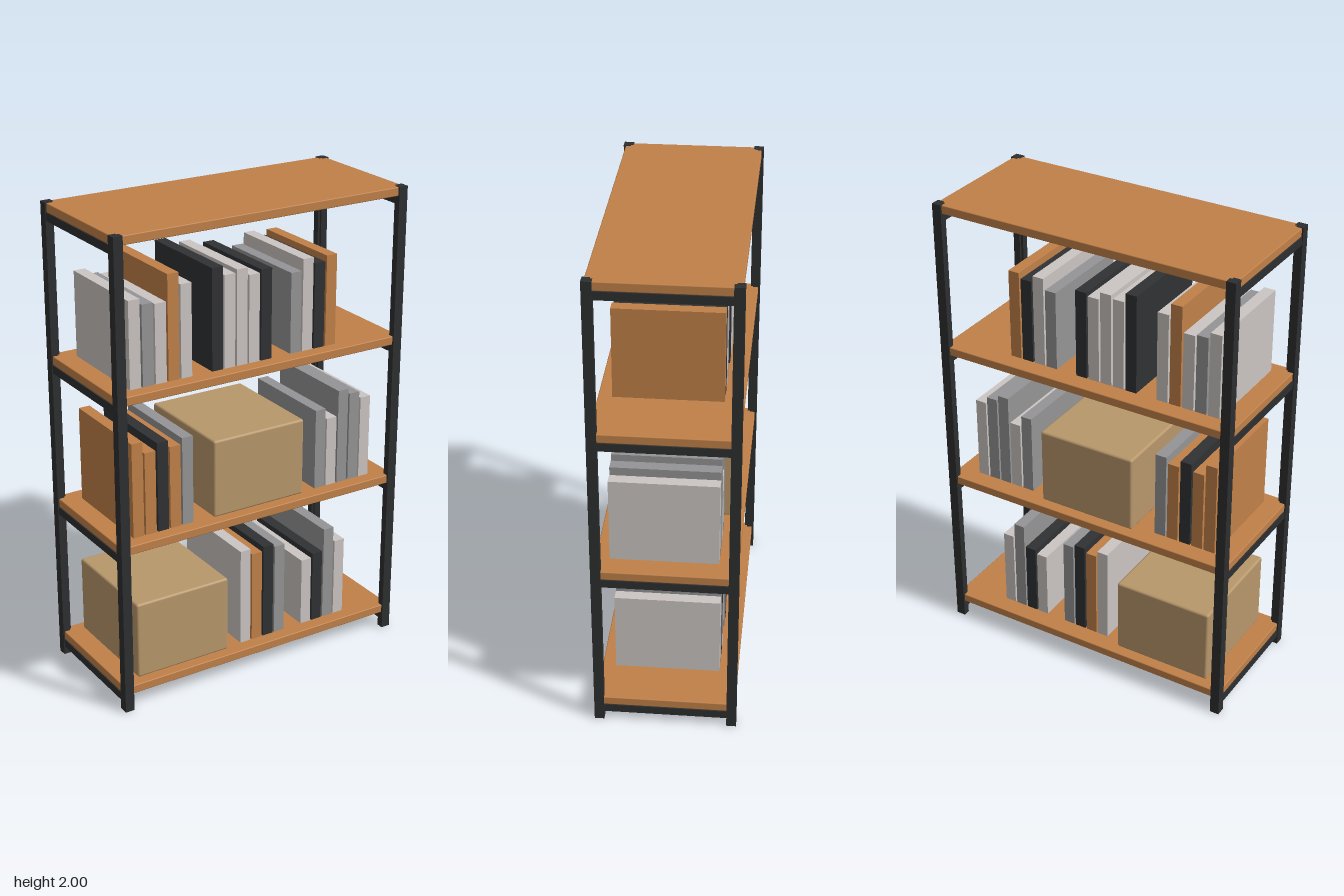
import * as THREE from 'three';
import { RoundedBoxGeometry } from 'three/addons/geometries/RoundedBoxGeometry.js';

const mat = (name, color) => {
  const m = new THREE.MeshStandardMaterial({ color });
  m.name = name;
  return m;
};

export function createModel() {
  const wood = mat('wood', 0xc08048);
  const metal = mat('dark metal', 0x2d2e2f);
  const card = mat('cardboard', 0xb8976b);
  const covers = {
    L: mat('light grey cover', 0xcbc5c2),
    G: mat('grey cover', 0x949496),
    K: mat('black cover', 0x303133),
    O: wood,
  };

  const model = new THREE.Group();
  model.name = 'bookshelf';
  const add = (name, geometry, material, x, y, z) => {
    const mesh = new THREE.Mesh(geometry, material);
    mesh.name = name;
    mesh.position.set(x, y, z);
    model.add(mesh);
    return mesh;
  };

  const X = 0.667, Z = 0.292, W = 0.04, T = 0.03; // frame half sizes, post width and wall

  // corner posts: thick angle profile, open toward the middle of the shelf
  for (const sx of [-1, 1]) for (const sz of [-1, 1]) {
    const corner = [[0, 0], [W, 0], [W, T], [T, T], [T, W], [0, W]];
    const shape = new THREE.Shape(corner.map(([a, b]) =>
      new THREE.Vector2(sx * (X - a), -sz * (Z - b))));
    const post = new THREE.ExtrudeGeometry(shape, { depth: 2, bevelEnabled: false });
    post.rotateX(-Math.PI / 2);
    add('post', post, metal, 0, 0, 0);
  }

  // boards, each resting on a rail at either end
  const tops = [0.109, 0.739, 1.368, 1.998];
  const thick = 0.037;
  for (const top of tops) {
    add('board', new RoundedBoxGeometry(1.322, thick, 0.568, 2, 0.004), wood, 0, top - thick / 2, 0);
    for (const sx of [-1, 1])
      add('endRail', new THREE.BoxGeometry(0.036, 0.034, 2 * (Z - T)), metal,
        sx * 0.646, top - thick - 0.017, 0);
  }

  // rows of books: shelf, left edge, then cover and top height of each
  const rows = [
    [0, -0.075, 'LOKG', [0.54, 0.513, 0.532, 0.518]],
    [0, 0.233, 'LKGL', [0.413, 0.43, 0.53, 0.46]],
    [1, -0.577, 'OOKOG', [1.143, 1.092, 1.122, 1.092, 1.117]],
    [1, 0.29, 'GLGGL', [1.09, 1.042, 1.154, 1.13, 1.1]],
    [2, -0.577, 'LGLOL', [1.725, 1.7, 1.693, 1.8, 1.75]],
    [2, -0.21, 'KLLLK', [1.79, 1.752, 1.765, 1.733, 1.745]],
    [2, 0.157, 'GLKO', [1.707, 1.754, 1.727, 1.75]],
  ];
  for (const [shelf, left, colours, heights] of rows) {
    heights.forEach((top, i) => {
      const base = tops[shelf];
      add('book', new THREE.BoxGeometry(0.049, top - base, 0.435), covers[colours[i]],
        left + 0.0245 + i * 0.0567, (base + top) / 2, 0.01);
    });
  }

  // storage boxes with soft edges
  for (const [shelf, x] of [[0, -0.361], [1, 0.005]])
    add('storageBox', new RoundedBoxGeometry(0.433, 0.335, 0.483, 3, 0.01), card,
      x, tops[shelf] + 0.1675, 0);

  return model;
}
